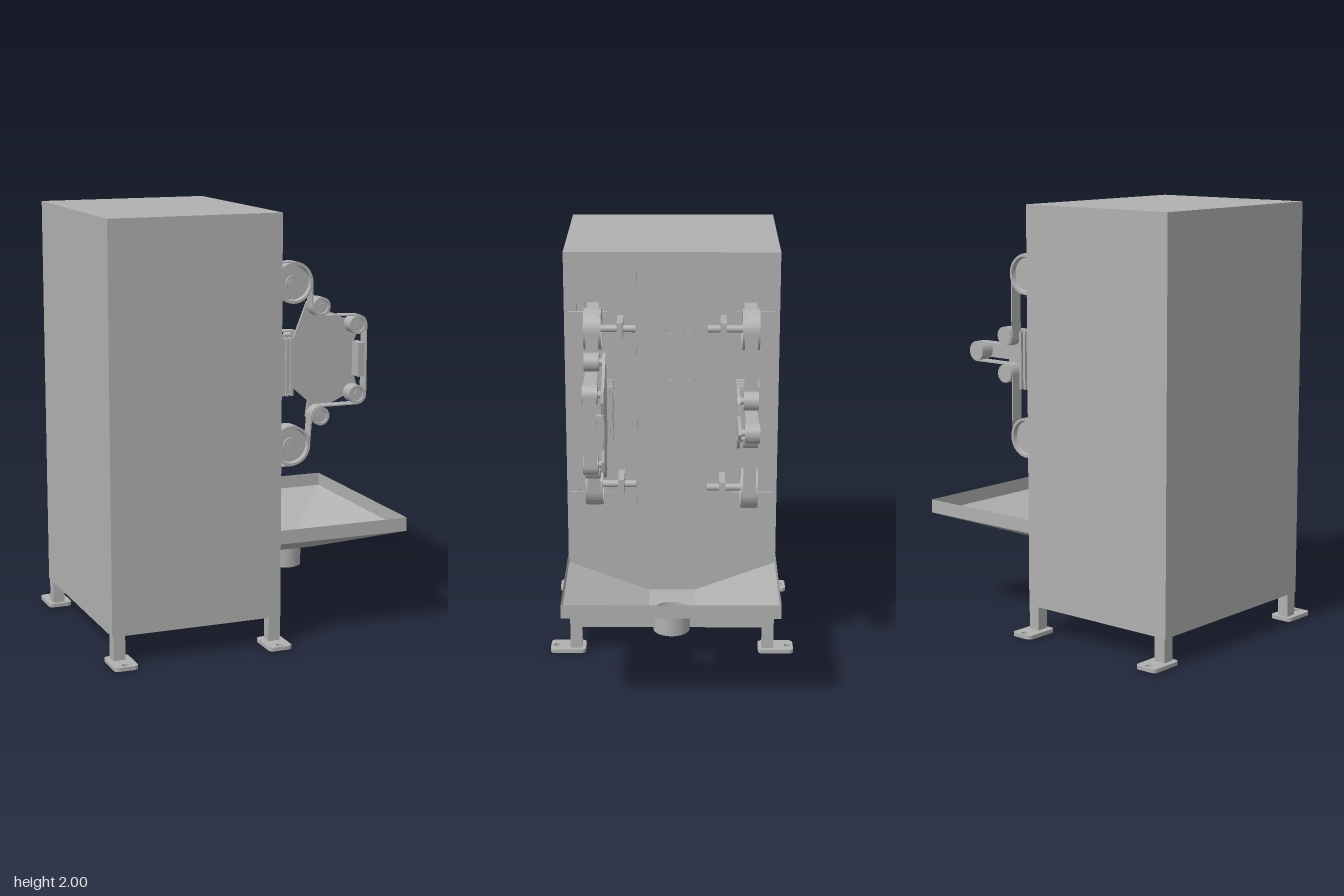
import * as THREE from 'three';

const grey = new THREE.MeshStandardMaterial({ color: 0xb0b0b0, side: THREE.DoubleSide });
grey.name = 'painted steel grey';

function add(parent, name, geometry, x = 0, y = 0, z = 0) {
  const mesh = new THREE.Mesh(geometry, grey);
  mesh.name = name;
  mesh.position.set(x, y, z);
  parent.add(mesh);
  return mesh;
}

// Box given by its two extreme corners
function box(parent, name, x0, x1, y0, y1, z0, z1) {
  const g = new THREE.BoxGeometry(x1 - x0, y1 - y0, Math.abs(z1 - z0));
  return add(parent, name, g, (x0 + x1) / 2, (y0 + y1) / 2, (z0 + z1) / 2);
}

// Cylinder along z
function pin(parent, name, r, length, x, y, z) {
  return add(parent, name, new THREE.CylinderGeometry(r, r, length, 32).rotateX(Math.PI / 2), x, y, z);
}

function extrude(shape, depth) {
  return new THREE.ExtrudeGeometry(shape, { depth, bevelEnabled: false, curveSegments: 20 })
    .translate(0, 0, -depth / 2);
}

function rectPath(x0, x1, y0, y1, Type = THREE.Path) {
  return new Type([[x0, y0], [x1, y0], [x1, y1], [x0, y1]].map(p => new THREE.Vector2(...p)));
}

function circlePath(x, y, r) {
  return new THREE.Path().absarc(x, y, r, 0, Math.PI * 2, true);
}

// Turned part along z: points are [radius, z], sharp edges
function turned(points) {
  const positions = [], normals = [];
  for (let i = 0; i < points.length - 1; i++) {
    const pair = [points[i], points[i + 1]].map(p => new THREE.Vector2(...p));
    const g = new THREE.LatheGeometry(pair, 40).rotateX(Math.PI / 2).toNonIndexed();
    positions.push(...g.attributes.position.array);
    normals.push(...g.attributes.normal.array);
  }
  const g = new THREE.BufferGeometry();
  g.setAttribute('position', new THREE.Float32BufferAttribute(positions, 3));
  g.setAttribute('normal', new THREE.Float32BufferAttribute(normals, 3));
  return g;
}

function buildCabinet(root) {
  const c = new THREE.Group();
  c.name = 'cabinet';
  root.add(c);
  box(c, 'frontPanel', -0.725, 0.085, 0.13, 2, 0.487, 0.497);
  box(c, 'backPanel', -0.725, 0.085, 0.13, 2, -0.497, -0.487);
  box(c, 'leftPanel', -0.725, -0.715, 0.13, 2, -0.487, 0.487);
  box(c, 'topPanel', -0.715, 0.085, 1.99, 2, -0.487, 0.487);

  // Working face, drawn with x = -z, with door gap, belt slots and bolt holes
  const face = rectPath(-0.497, 0.497, 0.13, 2, THREE.Shape);
  face.holes.push(rectPath(-0.163, -0.157, 0.55, 1.945));
  for (const s of [-1, 1]) {
    const [a, b] = s < 0 ? [-0.475, -0.285] : [0.285, 0.475];
    face.holes.push(rectPath(a, b, 1.72, 1.763), rectPath(a, b, 0.835, 0.858));
  }
  for (const y of [1.632, 1.41]) {
    for (const [x, dy, r] of [[-0.09, 0, 0.008], [-0.012, 0, 0.019], [0.073, 0, 0.019],
      [-0.053, -0.078, 0.008], [0.037, -0.078, 0.008]]) {
      face.holes.push(circlePath(x, y + dy, r));
    }
  }
  add(c, 'workingFace', extrude(face, 0.01).rotateY(Math.PI / 2), 0.09);

  // Underside frame
  for (const s of [-1, 1]) {
    box(c, 'sideRail', -0.715, 0.085, 0.131, 0.185, s * 0.437, s * 0.487);
    box(c, 'crossBeam', -0.665, 0.035, 0.133, 0.185, s * 0.17 - 0.03, s * 0.17 + 0.03);
  }
  box(c, 'endRail', -0.715, -0.665, 0.131, 0.185, -0.437, 0.437);
  box(c, 'endRail', 0.035, 0.085, 0.131, 0.185, -0.437, 0.437);

  // Legs, inner posts and bolted feet
  const foot = new THREE.Shape();
  const w = 0.057, h = 0.086, r = 0.022;
  foot.absarc(w - r, h - r, r, 0, Math.PI / 2);
  foot.absarc(-w + r, h - r, r, Math.PI / 2, Math.PI);
  foot.absarc(-w + r, -h + r, r, Math.PI, Math.PI * 1.5);
  foot.absarc(w - r, -h + r, r, Math.PI * 1.5, Math.PI * 2);
  foot.holes.push(circlePath(0, 0.057, 0.016));
  for (const s of [-1, 1]) for (const [x, lx] of [[-0.688, -0.692], [0.06, 0.065]]) {
    box(c, 'leg', lx - 0.028, lx + 0.028, 0.018, 0.14, s * 0.44, s * 0.497);
    box(c, 'innerPost', lx - 0.02, lx + 0.02, 0.185, 1.98, s * 0.44, s * 0.485);
    add(c, 'foot', extrude(foot, 0.018).rotateX(-s * -Math.PI / 2), x, 0.009, s * 0.508);
  }
}

function buildHopper(root) {
  const h = new THREE.Group();
  h.name = 'hopper';
  root.add(h);
  // Three-sided cross-sections from rim to floor: [y, outer x, half width]
  const rings = [[0.54, 0.745, 0.495], [0.475, 0.745, 0.495], [0.33, 0.43, 0.108]]
    .map(([y, x, z]) => [[0.095, y, z], [x, y, z], [x, y, -z], [0.095, y, -z]]);
  const pos = [];
  for (let i = 0; i < 2; i++) for (let j = 0; j < 3; j++) {
    const [a, b, c, d] = [rings[i][j], rings[i + 1][j], rings[i + 1][j + 1], rings[i][j + 1]];
    pos.push(...a, ...b, ...c, ...a, ...c, ...d);
  }
  const g = new THREE.BufferGeometry();
  g.setAttribute('position', new THREE.Float32BufferAttribute(pos, 3));
  g.computeVertexNormals();
  add(h, 'hopperWalls', g);
  const floor = rectPath(0.095, 0.43, -0.108, 0.108, THREE.Shape);
  floor.holes.push(circlePath(0.325, 0, 0.086));
  add(h, 'hopperFloor', new THREE.ShapeGeometry(floor, 20).rotateX(-Math.PI / 2), 0, 0.33);
  add(h, 'spout', new THREE.CylinderGeometry(0.086, 0.086, 0.1, 40, 1, true), 0.325, 0.28);
}

// Thin band following arcs [x, y, r, startQuarter, endQuarter]
function beltGeometry(arcs, width) {
  const pts = [];
  for (const [x, y, r, a, b] of arcs) for (let i = 0; i <= 10; i++) {
    const t = (a + (b - a) * i / 10) * Math.PI / 2;
    pts.push(new THREE.Vector2(x + r * Math.cos(t), y + r * Math.sin(t)));
  }
  pts.unshift(new THREE.Vector2(0.05, pts[0].y));
  pts.push(new THREE.Vector2(0.05, pts[pts.length - 1].y));
  const side = d => pts.map((p, i) => {
    const t = pts[Math.min(i + 1, pts.length - 1)].clone().sub(pts[Math.max(i - 1, 0)]).normalize();
    return new THREE.Vector2(p.x - t.y * d, p.y + t.x * d);
  });
  return extrude(new THREE.Shape([...side(0.003), ...side(-0.003).reverse()]), width);
}

// One belt station; s is the side (+1 front, -1 back)
function buildStation(root, name, s, wheels, rollers, plate, finDepth) {
  const u = new THREE.Group();
  u.name = name;
  root.add(u);
  const zc = s * 0.36;
  const wheelGeo = turned([[0, 0.03], [0.036, 0.03], [0.036, 0.018], [0.078, 0.018], [0.082, 0.04],
    [0.094, 0.04], [0.094, -0.04], [0.082, -0.04], [0.078, -0.018], [0.036, -0.018], [0.036, -0.03], [0, -0.03]]);
  for (const [x, y] of wheels) {
    add(u, 'wheel', wheelGeo, x, y, zc);
    pin(u, 'axle', 0.017, 0.23, x - 0.005, y, s * 0.28);
    box(u, 'bearingBlock', 0.095, 0.242, y - 0.038, y + 0.038, s * 0.222, s * 0.25);
  }
  for (const [x, y] of rollers) {
    add(u, 'roller', turned([[0, 0.026], [0.03, 0.026], [0.032, 0.034], [0.043, 0.034],
      [0.043, -0.034], [0, -0.034]]), x, y, zc);
    pin(u, 'rollerBolt', 0.015, 0.094, x, y, s * 0.343);
  }
  // Belt: wheel, in around the inner rollers, out around the outer ones
  const [r1, r2, r3, r4] = [0, 1, rollers.length - 2, rollers.length - 1].map(i => rollers[i]);
  add(u, 'belt', beltGeometry([
    [...wheels[0], 0.095, 1, 0], [...r1, 0.045, 2, 3], [...r2, 0.045, 1, 0],
    [...r3, 0.045, 0, -1], [...r4, 0.045, 1, 2], [...wheels[1], 0.095, 0, -1]], 0.058), 0, 0, zc);
  add(u, 'carrierPlate', extrude(new THREE.Shape(plate.map(p => new THREE.Vector2(...p))), 0.014), 0, 0, s * 0.304);

  // Finned mount
  const [f0, f1] = finDepth;
  box(u, 'mountCore', 0.095, 0.24, 1.14, 1.39, s * (f0 + 0.012), s * (f1 - 0.012));
  for (let i = 0; i < 6; i++) {
    const x = 0.1 + i * 0.024;
    box(u, 'mountFin', x, x + 0.013, 1.13, 1.4, s * f0, s * f1);
  }
  return u;
}

export function createModel() {
  const root = new THREE.Group();
  root.name = 'beltMachine';
  buildCabinet(root);
  buildHopper(root);

  const front = buildStation(root, 'frontStation', 1, [[0.198, 1.668], [0.19, 0.912]],
    [[0.34, 1.553], [0.526, 1.458], [0.526, 1.13], [0.34, 1.04]],
    [[0.235, 1.4], [0.3, 1.565], [0.34, 1.595], [0.38, 1.535], [0.49, 1.48], [0.55, 1.48], [0.565, 1.43],
      [0.545, 1.37], [0.545, 1.21], [0.565, 1.15], [0.55, 1.1], [0.49, 1.11], [0.38, 1.06], [0.34, 1.0],
      [0.3, 1.025], [0.31, 1.1], [0.235, 1.165]], [0.272, 0.316]);
  box(front, 'platen', 0.535, 0.568, 1.21, 1.37, 0.3, 0.378);

  buildStation(root, 'backStation', -1, [[0.2, 1.668], [0.2, 0.9]],
    [[0.34, 1.37], [0.526, 1.28], [0.34, 1.19]],
    [[0.235, 1.4], [0.36, 1.4], [0.385, 1.37], [0.39, 1.315], [0.54, 1.315], [0.56, 1.28], [0.54, 1.245],
      [0.39, 1.245], [0.385, 1.19], [0.36, 1.15], [0.235, 1.15]], [0.297, 0.405]);
  return root;
}
